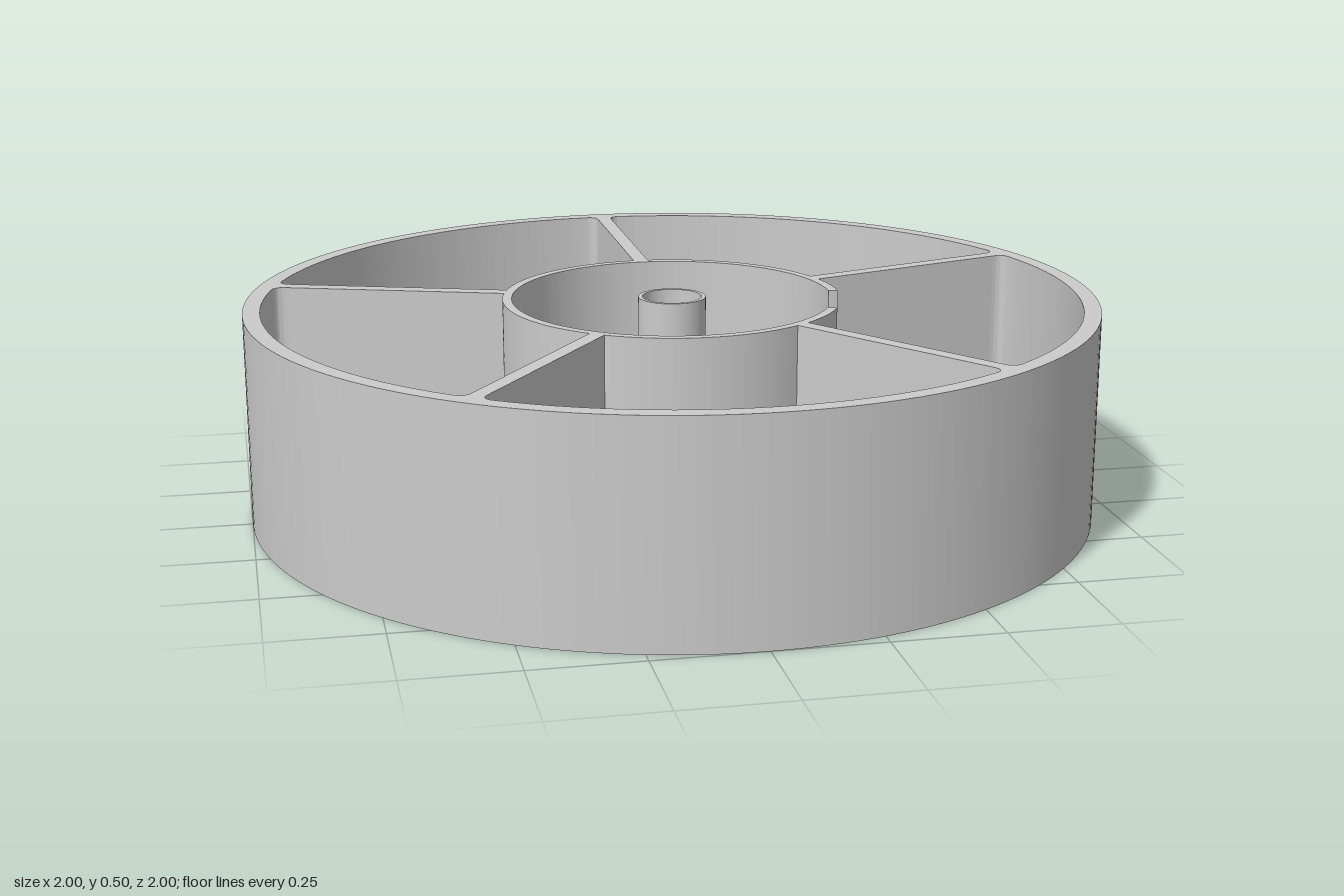
import * as THREE from 'three';
import { toCreasedNormals } from 'three/addons/utils/BufferGeometryUtils.js';

const H = 0.5, FLOOR = 0.04, RIM = 0.96, RIB = 0.018;
const rad = THREE.MathUtils.degToRad;
const lerp = THREE.MathUtils.lerp;
const material = new THREE.MeshStandardMaterial({ color: 0xcccccc });

function part(name, geometry) {
  const mesh = new THREE.Mesh(toCreasedNormals(geometry, 0.5), material);
  mesh.name = name;
  return mesh;
}

// Upright extrusion of a plan drawn with x right and y towards the back
function upright(shape, height) {
  return new THREE.ExtrudeGeometry(shape, { depth: height, bevelEnabled: false, curveSegments: 96 })
    .rotateX(-Math.PI / 2);
}

// Solid strip: each station is a row of [x, z] points at height y, with skirts down into the floor
function strip(stations) {
  const pos = [], index = [];
  const n = stations[0].pts.length + 2;
  for (const { pts, y } of stations) {
    const first = pts[0], last = pts[pts.length - 1];
    pos.push(first[0], 0.02, first[1]);
    for (const [x, z] of pts) pos.push(x, y, z);
    pos.push(last[0], 0.02, last[1]);
  }
  for (let s = 0; s < stations.length - 1; s++) {
    for (let j = 0; j < n - 1; j++) {
      const a = s * n + j, b = a + 1, c = a + n, d = c + 1;
      index.push(a, b, c, b, d, c);
    }
  }
  const g = new THREE.BufferGeometry();
  g.setAttribute('position', new THREE.Float32BufferAttribute(pos, 3));
  g.setIndex(index);
  return g;
}

// Outer wall and five ribs; the opening follows every compartment with rounded outer corners
function frame() {
  const shape = new THREE.Shape().absarc(0, 0, 1, 0, Math.PI * 2, false);
  const hole = new THREE.Path();
  const p = (r, a) => [r * Math.cos(a), r * Math.sin(a)];
  const f = 0.03;
  for (let k = 0; k < 5; k++) {
    const a = rad(90 + 72 * k), b = a + rad(72);
    const side = r => Math.asin(RIB / r);
    const start = p(0.39, a + side(0.39));
    if (k === 0) hole.moveTo(...start); else hole.lineTo(...start);
    hole.lineTo(...p(RIM - f, a + side(RIM - f)));
    const a1 = a + side(RIM), b1 = b - side(RIM);
    hole.quadraticCurveTo(...p(RIM, a1), ...p(RIM, a1 + f));
    for (let i = 1; i <= 24; i++) hole.lineTo(...p(RIM, lerp(a1 + f, b1 - f, i / 24)));
    hole.quadraticCurveTo(...p(RIM, b1), ...p(RIM - f, b - side(RIM - f)));
    hole.lineTo(...p(0.39, b - side(0.39)));
  }
  hole.closePath();
  shape.holes.push(hole);
  // few steps are enough for the fillets, the arcs are already sampled
  return upright(shape, H);
}

// Inner ring with an opening for the chute
function innerRing() {
  const a = rad(-3), b = rad(331.5);
  const shape = new THREE.Shape();
  shape.absarc(0, 0, 0.4, a, b, false);
  shape.absarc(0, 0, 0.378, b, a, true);
  shape.closePath();
  return upright(shape, H);
}

// Chute from the post through the opening, then a curved ramp down to the compartment floor
function chute() {
  const cols = 10, cx = 0.45, cz = -0.1, stations = [];
  const row = fn => Array.from({ length: cols + 1 }, (_, i) => fn(i / cols));
  stations.push({
    y: 0.38,
    pts: row(t => {
      const a = rad(lerp(-70, 70, t));
      return [0.076 * Math.cos(a), 0.076 * Math.sin(a)];
    }),
  });
  const steps = 24;
  for (let i = 0; i <= steps; i++) {
    const u = i / steps, a = rad(lerp(104, -25, u));
    stations.push({
      y: lerp(0.32, FLOOR, u),
      pts: row(t => {
        const r = lerp(0.13, 0.315, t);
        return [cx + r * Math.cos(a), cz + r * Math.sin(a)];
      }),
    });
  }
  return strip(stations);
}

// Low raised floor beside one rib, sloping down to the compartment floor
function raisedFloor() {
  const station = (deg, y) => {
    const a = rad(deg);
    return { y, pts: [0.39, 0.97].map(r => [r * Math.cos(a), -r * Math.sin(a)]) };
  };
  const stations = [];
  for (let i = 0; i <= 4; i++) stations.push(station(lerp(162, 173.4, i / 4), 0.09));
  for (let i = 1; i <= 4; i++) stations.push(station(lerp(173.4, 187, i / 4), lerp(0.09, FLOOR, i / 4)));
  return strip(stations);
}

export function createModel() {
  const group = new THREE.Group();
  group.name = 'dividedTray';

  const floor = new THREE.CylinderGeometry(0.99, 0.99, FLOOR, 96).translate(0, FLOOR / 2, 0);
  group.add(part('floor', floor));
  group.add(part('outerWallAndRibs', frame()));
  group.add(part('innerRing', innerRing()));
  group.add(part('chute', chute()));
  group.add(part('raisedFloor', raisedFloor()));

  // Hollow centre post with a stepped bore
  const profile = [[0.08, 0.02], [0.08, H], [0.07, H], [0.07, 0.25], [0.042, 0.25], [0.042, 0.02]]
    .map(([r, y]) => new THREE.Vector2(r, y));
  group.add(part('centrePost', new THREE.LatheGeometry(profile, 40)));

  return group;
}
